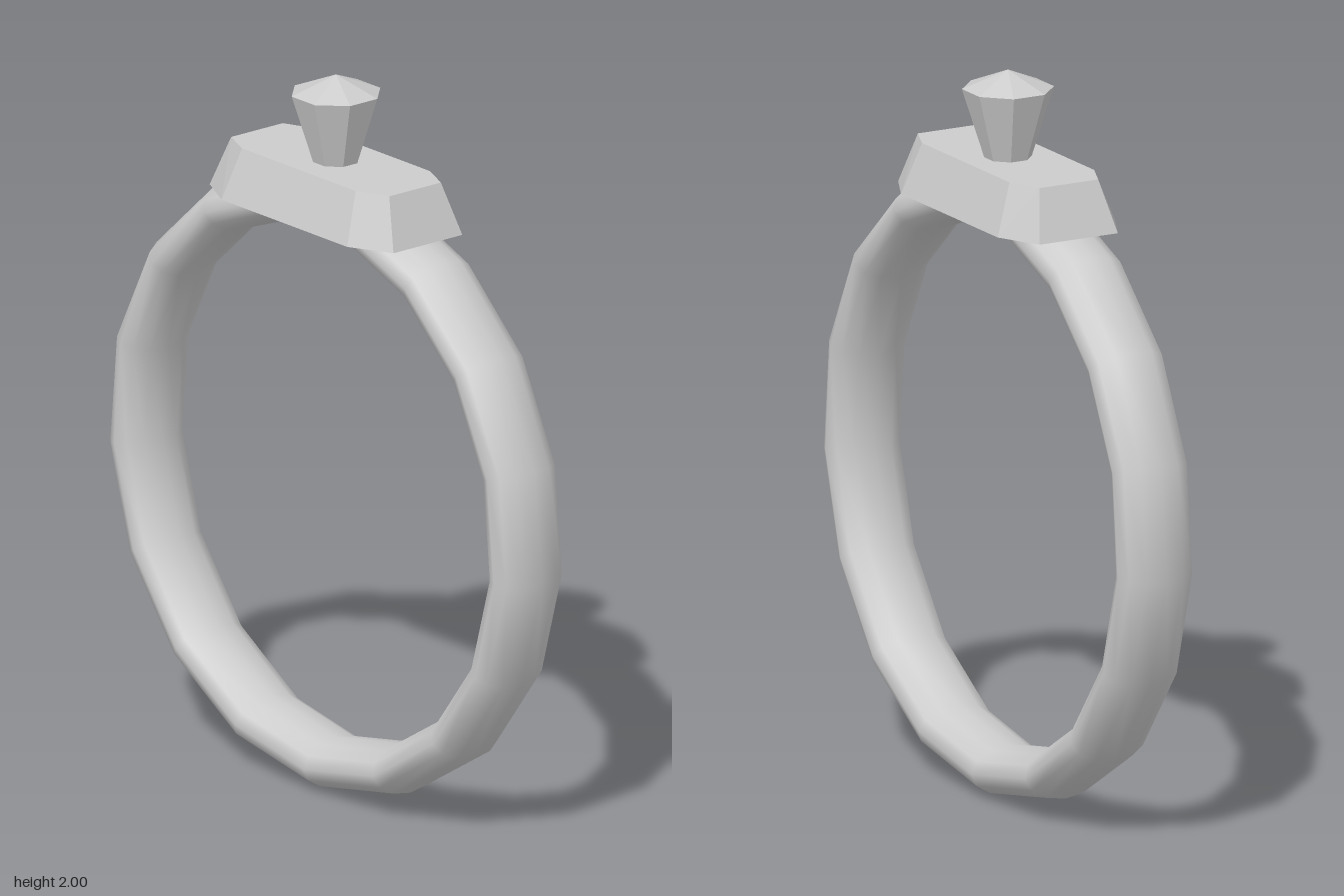
import * as THREE from 'three';
import { ConvexGeometry } from 'three/addons/geometries/ConvexGeometry.js';

const smooth = new THREE.MeshStandardMaterial({ color: 0xcccccc });
const faceted = new THREE.MeshStandardMaterial({ color: 0xcccccc, flatShading: true });

function part(name, geometry, material) {
  const mesh = new THREE.Mesh(geometry, material);
  mesh.name = name;
  return mesh;
}

// Stretched octagon at height y: ends at endX, sides at sideZ, corners cut off
function octagon(y, endX, endZ, sideX, sideZ) {
  const points = [];
  for (const sx of [-1, 1]) {
    for (const sz of [-1, 1]) {
      points.push(new THREE.Vector3(sx * endX, y, sz * endZ));
      points.push(new THREE.Vector3(sx * sideX, y, sz * sideZ));
    }
  }
  return points;
}

export function createModel() {
  const ring = new THREE.Group();
  ring.name = 'ring';

  // Band: 17-sided hoop with one corner at the bottom, widened along z
  const bandGeometry = new THREE.TorusGeometry(0.788, 0.068, 12, 17);
  bandGeometry.rotateZ(-Math.PI / 2);
  bandGeometry.scale(1, 1, 0.112 / 0.068);
  const band = part('band', bandGeometry, smooth);
  band.position.y = 0.858;
  ring.add(band);

  // Setting: tapered plate with cut corners
  ring.add(part('setting', new ConvexGeometry([
    ...octagon(1.62, 0.38, 0.12, 0.26, 0.18),
    ...octagon(1.76, 0.327, 0.09, 0.235, 0.13),
  ]), faceted));

  // Gem: eight-sided, flat sides facing the axes
  const gem = new THREE.Group();
  gem.name = 'gem';
  const lower = part('gemPavilion', new THREE.CylinderGeometry(0.124, 0.064, 0.19, 8, 1, true), faceted);
  lower.position.y = 1.855;
  const upper = part('gemCrown', new THREE.ConeGeometry(0.124, 0.05, 8, 1, true), faceted);
  upper.position.y = 1.975;
  gem.add(lower, upper);
  gem.rotation.y = Math.PI / 8;
  ring.add(gem);

  return ring;
}
